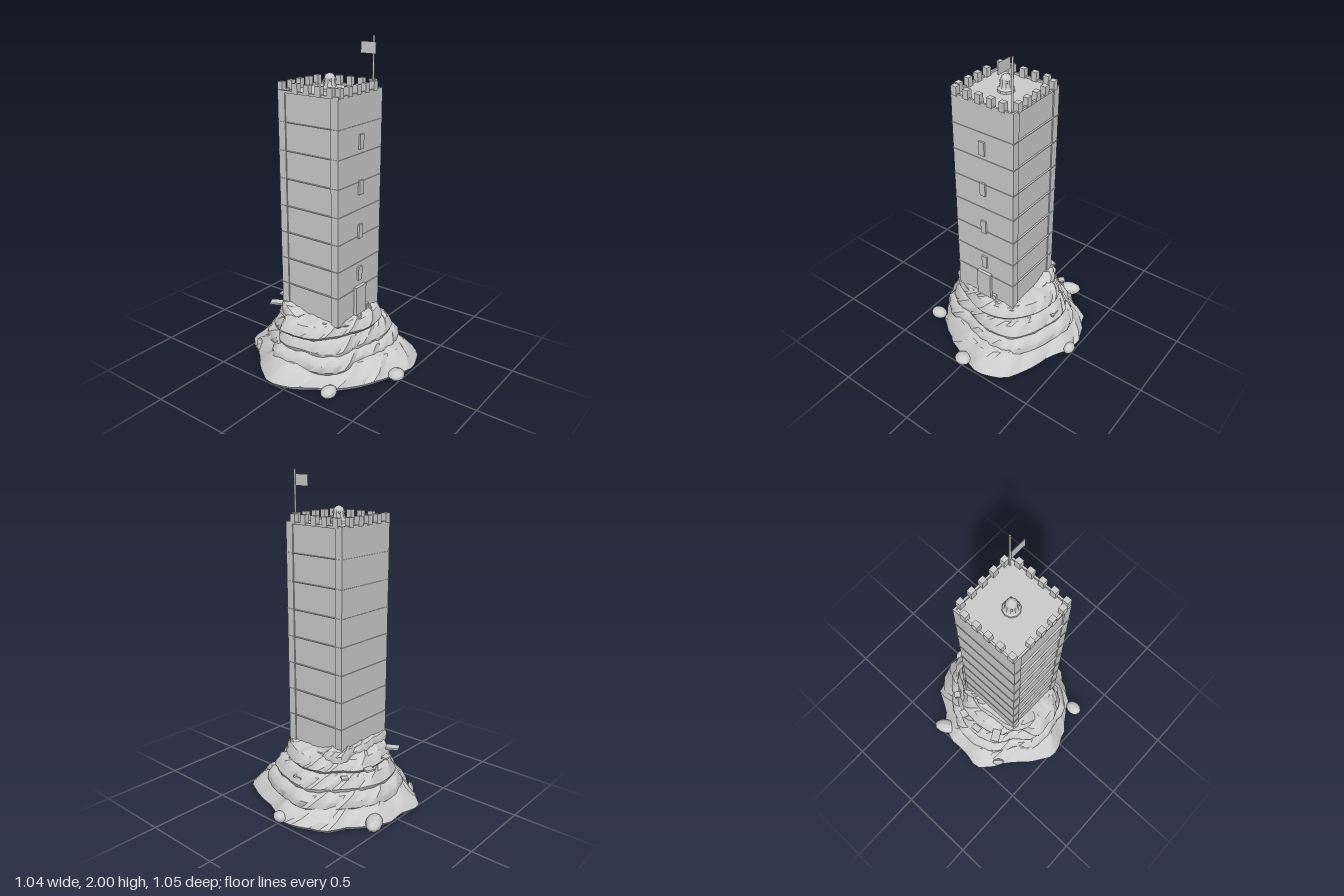
import * as THREE from 'three';
import { toCreasedNormals } from 'three/addons/utils/BufferGeometryUtils.js';

const stone = new THREE.MeshStandardMaterial({ color: 0xcccccc });
stone.name = 'pale stone';
stone.side = THREE.DoubleSide;

const CX = -0.03, CZ = -0.005; // tower axis

function add(parent, name, geometry, x = 0, y = 0, z = 0) {
  const mesh = new THREE.Mesh(geometry, stone);
  mesh.name = name;
  mesh.position.set(x, y, z);
  parent.add(mesh);
  return mesh;
}

const box = (w, h, d) => new THREE.BoxGeometry(w, h, d);

// Rock terrace: an x,z outline repeated up a profile of [height, scale].
function terrace(outline, profile, lift = () => 0) {
  const pts = [];
  for (let i = 0; i < outline.length; i += 2) pts.push(new THREE.Vector3(outline[i], 0, outline[i + 1]));
  const curve = new THREE.CatmullRomCurve3(pts, true, 'centripetal');
  const n = 56;
  const ring = curve.getSpacedPoints(n).slice(0, n);
  const point = (i, j) => {
    const [y, s] = profile[j];
    if (s === 0) return [CX, y, 0];
    const p = ring[i % n], k = i % n;
    const wobble = y > 0 ? Math.sin(k * 2.3 + j * 1.7) * Math.sin(k * 0.7 + j) : 0;
    const r = s * (1 + wobble * 0.02);
    return [CX + (p.x - CX) * r, y + wobble * 0.008 + lift(p, y), p.z * r];
  };
  const v = [];
  for (let j = 0; j < profile.length - 1; j++) {
    for (let i = 0; i < n; i++) {
      const a = point(i, j), b = point(i + 1, j), c = point(i, j + 1), d = point(i + 1, j + 1);
      if (profile[j][1] > 0) v.push(...a, ...c, ...b);
      if (profile[j + 1][1] > 0) v.push(...b, ...c, ...d);
    }
  }
  const g = new THREE.BufferGeometry();
  g.setAttribute('position', new THREE.Float32BufferAttribute(v, 3));
  return toCreasedNormals(g, 0.6);
}

function buildRock(group) {
  const base = [-.20, -.52, -.14, -.53, -.03, -.50, .07, -.515, .13, -.49, .235, -.42, .31, -.35, .395, -.31,
    .445, -.21, .49, -.10, .49, 0, .44, .085, .405, .18, .37, .295, .30, .43, .14, .505, .015, .47,
    -.125, .415, -.24, .35, -.35, .255, -.41, .155, -.48, .055, -.52, -.085, -.48, -.185, -.38, -.295, -.295, -.395];
  const middle = [-.21, -.38, -.10, -.42, .04, -.43, .16, -.38, .255, -.31, .34, -.225, .41, -.125, .41, -.03,
    .38, .10, .34, .21, .27, .31, .14, .35, 0, .34, -.125, .295, -.265, .27, -.365, .18, -.39, .04,
    -.41, -.085, -.38, -.18, -.28, -.27];
  const upper = [-.14, -.32, -.01, -.34, .13, -.32, .2, -.24, .28, -.17, .315, -.07, .31, .015, .27, .13,
    .155, .255, -.01, .29, -.155, .24, -.265, .185, -.365, .085, -.385, -.04, -.38, -.13, -.265, -.17, -.21, -.27];
  const collar = [-.17, -.235, -.08, -.24, 0, -.255, .1, -.235, .19, -.23, .23, -.13, .215, -.02, .225, .08,
    .17, .2, .05, .23, -.1, .23, -.22, .18, -.27, .1, -.31, 0, -.29, -.12, -.25, -.2];

  add(group, 'baseTerrace', terrace(base,
    [[0, 0], [0, .96], [.025, 1], [.06, .95], [.1, .87], [.13, .8], [.14, .6], [.14, 0]]));
  add(group, 'secondTerrace', terrace(middle,
    [[.09, 0], [.09, .97], [.11, 1.01], [.15, 1], [.18, .94], [.2, .82], [.205, 0]]));
  add(group, 'thirdTerrace', terrace(middle,
    [[.18, 0], [.18, .87], [.21, .9], [.24, .86], [.27, .82], [.285, .76], [.285, 0]]));
  add(group, 'upperTerrace', terrace(upper,
    [[.285, 0], [.285, .95], [.305, 1], [.33, .97], [.365, .9], [.378, .78], [.38, 0]]));
  // collar rises behind the tower and sinks towards the door
  add(group, 'rockCollar', terrace(collar,
    [[.35, 0], [.35, 1.04], [.39, 1.04], [.415, .99], [.42, .9], [.42, 0]],
    (p, y) => (y > .38 ? -.045 * THREE.MathUtils.smoothstep(p.z, -.2, -.02) : 0)));

  // boulders at the foot: x, z, half sizes
  for (const [x, z, rx, ry, rz, turn] of [
    [.18, -.465, .08, .045, .05, .5], [-.40, .26, .056, .036, .045, 0],
    [-.01, .475, .055, .035, .05, 0], [.48, 0, .035, .035, .045, 0], [-.27, -.4, .04, .05, .02, .8]]) {
    const b = add(group, 'boulder', toCreasedNormals(new THREE.IcosahedronGeometry(1, 1), 0.6), x, ry * .8, z);
    b.scale.set(rx, ry, rz);
    b.rotation.y = turn;
    b.position.y = Math.max(b.position.y, ry);
  }

  // flat steps winding round the back
  for (const [x, y, z, w, d, turn] of [
    [-.18, .345, -.32, .055, .08, .5], [-.05, .345, -.37, .056, .04, .05], [.09, .31, -.35, .055, .045, -.35],
    [.225, .28, -.28, .04, .04, -.7], [.34, .245, -.02, .025, .06, 0]]) {
    add(group, 'step', box(w, .012, d), x, y, z).rotation.y = turn;
  }
}

function buildTower(group) {
  // body with raised corner strips on both sides
  add(group, 'towerBody', box(.406, 1.34, .42), CX, 1.03, CZ);
  for (const sx of [-1, 1]) for (const sz of [-1, 1]) {
    add(group, 'cornerStrip', box(.007, 1.34, .05), CX + sx * .2065, 1.03, CZ + sz * .185);
  }
  for (let i = 1; i < 8; i++) add(group, 'courseBand', box(.428, .004, .428), CX, 1.7 - i * .165, CZ);

  // door and windows on the front
  add(group, 'door', box(.1, .18, .02), CX, .47, .215);
  for (let i = 0; i < 4; i++) add(group, 'window', box(.037, .085, .012), CX, .64 + i * .2665, .21);
  add(group, 'doorStone', box(.025, .035, .02), .045, .395, .213);

  // parapet wall and merlons
  for (const s of [-1, 1]) {
    add(group, 'parapet', box(.42, .014, .012), CX, 1.706, CZ + s * .204);
    add(group, 'parapet', box(.012, .014, .42), CX + s * .204, 1.706, CZ);
    for (let i = 0; i < 5; i++) {
      add(group, 'merlon', box(.036, .055, .032), -.215 + i * .08, 1.73, CZ + s * .199);
      if (s > 0 || i > 0) add(group, 'merlon', box(.032, .055, .036), CX + s * .198, 1.73, -.17 + i * .08);
    }
  }
}

function buildRoofDetails(group) {
  // small domed lantern in the middle of the roof
  const profile = [[.05, 1.698], [.05, 1.715], [.04, 1.725], [.033, 1.75], [.033, 1.768], [.026, 1.785], [.013, 1.797], [0, 1.8]]
    .map(([r, y]) => new THREE.Vector2(r, y));
  add(group, 'lantern', toCreasedNormals(new THREE.LatheGeometry(profile, 10), 0.5), CX, 0, -.01);
  for (let i = 0; i < 4; i++) {
    const a = Math.PI / 4 + i * Math.PI / 2;
    add(group, 'lanternKnob', new THREE.SphereGeometry(.007, 6, 4), CX + Math.cos(a) * .033, 1.762, -.01 + Math.sin(a) * .033);
  }
  // flagpole and flag
  add(group, 'flagpole', new THREE.CylinderGeometry(.006, .006, .3, 8), .143, 1.85, .165);
  add(group, 'flag', box(.003, .065, .1), .09, 1.938, .165);
}

export function createModel() {
  const model = new THREE.Group();
  model.name = 'rockTower';
  for (const [name, build] of [['rock', buildRock], ['tower', buildTower], ['roofDetails', buildRoofDetails]]) {
    const part = new THREE.Group();
    part.name = name;
    build(part);
    model.add(part);
  }
  return model;
}
